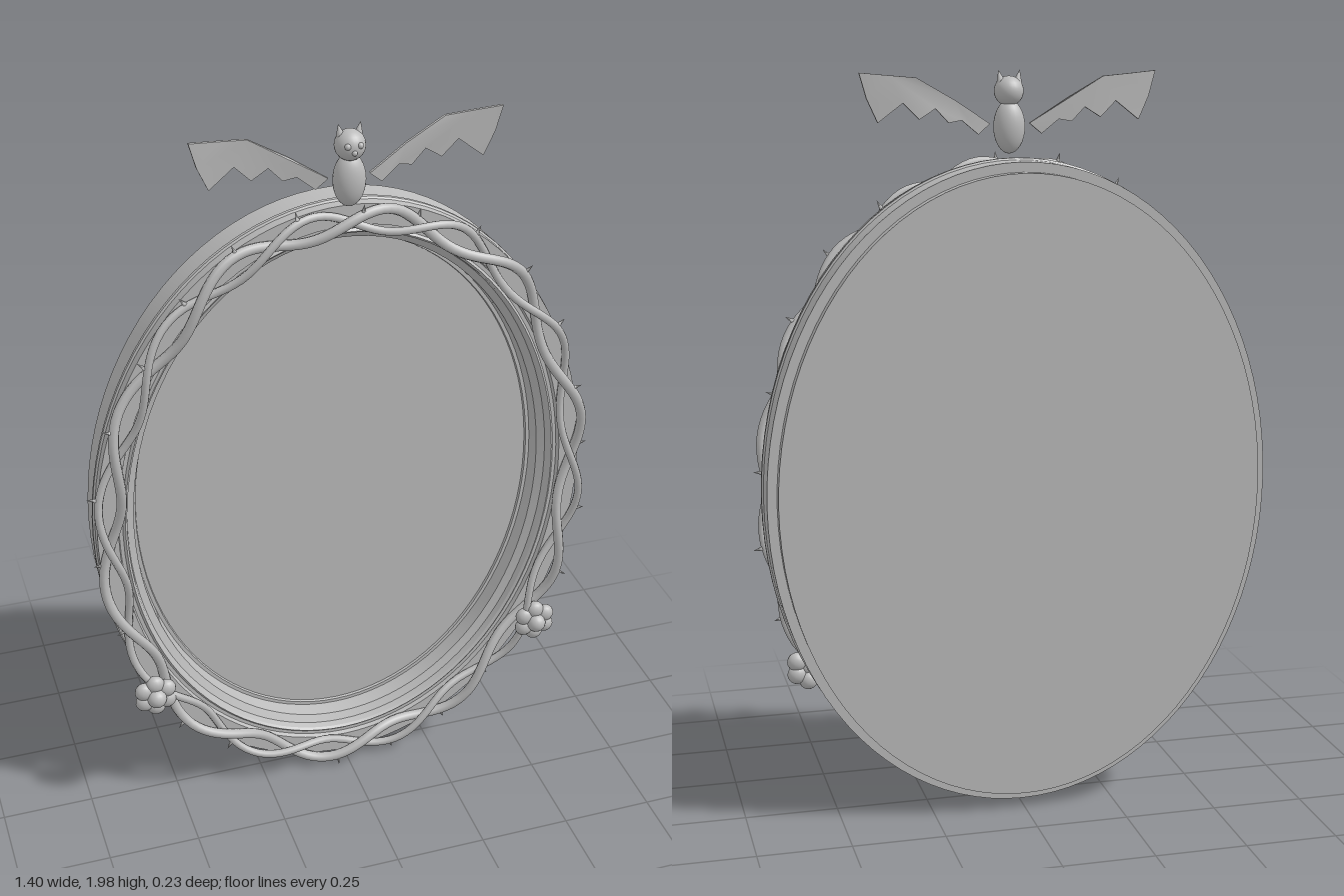
import * as THREE from 'three';
import { toCreasedNormals } from 'three/addons/utils/BufferGeometryUtils.js';

const CY = 0.905; // centre height of the oval

export function createModel() {
  const root = new THREE.Group();
  root.name = 'ovalMirror';
  const grey = new THREE.MeshStandardMaterial({ color: 0xbcbcbc });
  grey.name = 'plainGrey';

  function add(parent, name, geometry, x = 0, y = 0, z = 0) {
    const mesh = new THREE.Mesh(geometry, grey);
    mesh.name = name;
    mesh.position.set(x, y, z);
    parent.add(mesh);
    return mesh;
  }

  // Turns a [radius, z] profile around z, stretched to an oval with even rim widths
  function oval(profile) {
    const g = new THREE.LatheGeometry(profile.map(p => new THREE.Vector2(...p)), 96);
    g.rotateX(Math.PI / 2);
    const pos = g.attributes.position;
    for (let i = 0; i < pos.count; i++) {
      const r = Math.hypot(pos.getX(i), pos.getY(i));
      if (r > 0.01) pos.setY(i, pos.getY(i) * (1 + 0.19 / r));
    }
    return toCreasedNormals(g, 0.5);
  }

  // Frame, back plate and recessed glass
  add(root, 'backPlate', oval([[0, -0.12], [0.652, -0.12], [0.652, -0.088]]), 0, CY);
  add(root, 'frame', oval([
    [0.64, -0.09], [0.678, -0.09], [0.678, -0.017], [0.683, -0.013], [0.683, -0.003], [0.678, 0.001],
    [0.678, 0.03], [0.622, 0.03], [0.618, 0.018], [0.608, 0.018], [0.602, 0.024], [0.596, 0.018],
    [0.592, 0], [0.572, -0.012], [0.568, -0.055], [0.558, -0.055], [0.556, -0.062],
  ]), 0, CY);
  add(root, 'glass', oval([[0.562, -0.062], [0, -0.062]]), 0, CY);

  // Two vines that twist round each other along the rim
  const start = THREE.MathUtils.degToRad(82);
  function vinePoint(t, phase) {
    const w = 10 * (t - start) + phase;
    const r = 0.03 * Math.cos(w);
    return new THREE.Vector3((0.65 + r) * Math.cos(t), CY + (0.835 + r) * Math.sin(t),
      0.054 + 0.017 * Math.sin(w));
  }
  const vines = new THREE.Group();
  vines.name = 'vines';
  root.add(vines);
  [[0, 0.014], [Math.PI, 0.011]].forEach(([phase, radius], k) => {
    const points = [];
    for (let i = 0; i < 120; i++) points.push(vinePoint(i / 120 * Math.PI * 2, phase));
    const path = new THREE.CatmullRomCurve3(points, true);
    add(vines, k ? 'thinVine' : 'thickVine', new THREE.TubeGeometry(path, 240, radius, 8, true));
  });

  // Thorns point outwards, alternately from each vine
  for (let i = 0; i < 26; i++) {
    const t = (i + 0.3) / 26 * Math.PI * 2;
    const a = vinePoint(t, 0), b = vinePoint(t, Math.PI);
    const p = Math.hypot(a.x, a.y - CY) > Math.hypot(b.x, b.y - CY) ? a : b;
    const out = new THREE.Vector3(Math.cos(t), Math.sin(t), 0.25 * Math.sin(i * 2.4)).normalize();
    const thorn = add(vines, 'thorn', new THREE.ConeGeometry(0.008, 0.03, 6));
    thorn.position.copy(p).addScaledVector(out, 0.018);
    thorn.quaternion.setFromUnitVectors(new THREE.Vector3(0, 1, 0), out);
  }

  // Small blossoms on both sides
  for (const side of [-1, 1]) {
    const flower = new THREE.Group();
    flower.name = side > 0 ? 'leftFlower' : 'rightFlower';
    flower.position.set(side * 0.56, 0.408, 0.075);
    root.add(flower);
    add(flower, 'flowerCentre', new THREE.SphereGeometry(0.027, 16, 12), 0, 0, 0.013);
    for (let i = 0; i < 6; i++) {
      const a = i / 6 * Math.PI * 2 + Math.PI / 6;
      const petal = add(flower, 'petal', new THREE.SphereGeometry(0.026, 14, 10),
        0.036 * Math.cos(a), 0.036 * Math.sin(a), -0.002);
      petal.scale.z = 0.8;
    }
  }

  // Bat on top
  const bat = new THREE.Group();
  bat.name = 'bat';
  bat.position.z = 0.057;
  root.add(bat);
  add(bat, 'body', new THREE.SphereGeometry(0.042, 24, 16), 0, 1.853).scale.set(1, 1.65, 0.8);
  add(bat, 'head', new THREE.SphereGeometry(0.039, 24, 16), 0, 1.945, 0.004);
  add(bat, 'nose', new THREE.SphereGeometry(0.007, 10, 8), 0, 1.937, 0.042);

  const outline = [[0.053, 1.862], [0.15, 1.925], [0.25, 1.982], [0.32, 1.988], [0.396, 1.995], [0.378, 1.93],
    [0.35, 1.868], [0.285, 1.918], [0.243, 1.876], [0.2, 1.903], [0.165, 1.866], [0.13, 1.872], [0.085, 1.835]];
  for (const side of [-1, 1]) {
    const ear = add(bat, 'ear', new THREE.ConeGeometry(0.013, 0.036, 10), side * 0.025, 1.982, 0);
    ear.rotation.z = -side * 0.2;
    add(bat, 'eye', new THREE.SphereGeometry(0.008, 12, 8), side * 0.016, 1.953, 0.037);

    // Wing membrane, gently cupped
    const points = outline.map(([x, y]) => new THREE.Vector2(side * x, y));
    const wing = new THREE.ExtrudeGeometry(new THREE.Shape(points), { depth: 0.008, bevelEnabled: false });
    const pos = wing.attributes.position;
    for (let i = 0; i < pos.count; i++) {
      const u = (Math.abs(pos.getX(i)) - 0.053) / 0.343;
      pos.setZ(i, pos.getZ(i) - 0.008 - 0.012 * Math.sin(u * Math.PI));
    }
    add(bat, side > 0 ? 'leftWing' : 'rightWing', toCreasedNormals(wing, 0.6));
  }
  return root;
}
